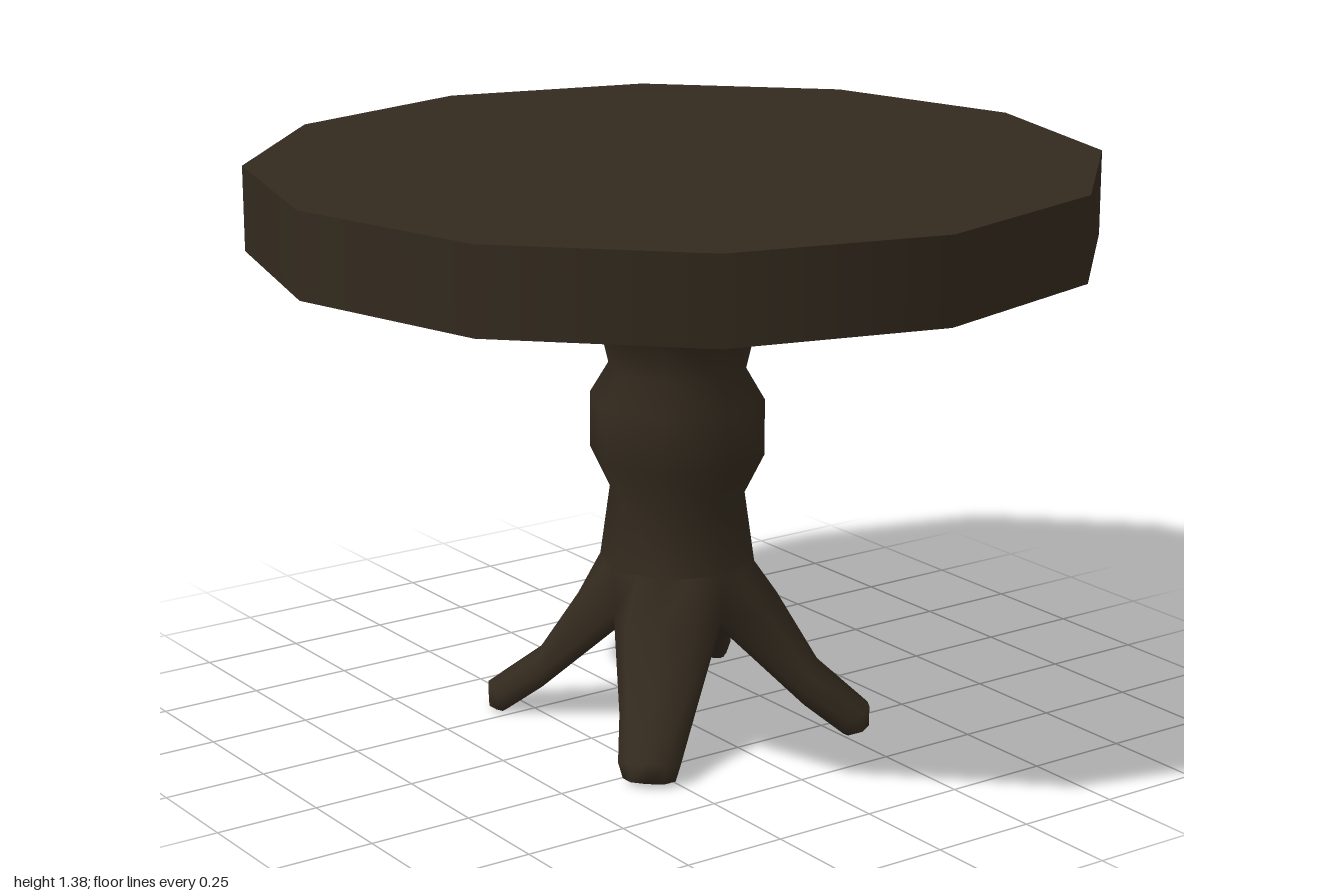
import * as THREE from 'three';
import { mergeGeometries, mergeVertices } from 'three/addons/utils/BufferGeometryUtils.js';

// Half cross-sections of a leg, from the shoulder down to the toe.
// Each point is [outward, height, sideways], going from the outer ridge to the inner ridge.
const LEG_SECTIONS = [
  [[0.187, 0.41, 0], [0.158, 0.413, 0.065], [0.1322, 0.41, 0.1322], [0.06, 0.41, 0.06], [0, 0.41, 0]],
  [[0.242, 0.305, 0], [0.23, 0.307, 0.082], [0.13, 0.3, 0.13], [0.07, 0.3, 0.07], [0.09, 0.285, 0]],
  [[0.335, 0.155, 0], [0.328, 0.15, 0.066], [0.312, 0.12, 0.088], [0.313, 0.08, 0.07], [0.31, 0.075, 0]],
  [[0.462, 0.06, 0], [0.452, 0.055, 0.045], [0.422, 0.045, 0.073], [0.405, 0.01, 0.06], [0.4, 0.005, 0]],
  [[0.46, 0.012, 0], [0.45, 0.01, 0.04], [0.428, 0.01, 0.062], [0.415, 0.002, 0.05], [0.415, 0, 0]],
];
const SIDE = 2; // where each half section meets the neighbouring leg

// Builds the leg of one quadrant; sx and sz mirror it into the others
function legGeometry(sx, sz) {
  const rings = LEG_SECTIONS.map((half) => [
    ...half,
    ...half.slice(1, -1).reverse().map(([r, y, t]) => [r, y, -t]),
  ]);
  const n = rings[0].length;
  const positions = rings.flat().flatMap(([r, y, t]) => [
    sx * (r - t) * Math.SQRT1_2,
    y,
    sz * ((r + t) * Math.SQRT1_2 + 0.05 * Math.max(0, 0.3 - y)),
  ]);
  const index = [];
  const triangle = (a, b, c) => index.push(...(sx * sz > 0 ? [a, b, c] : [a, c, b]));

  // The shoulder has an outer wall only, below it the leg is a full tube
  for (let i = 0; i < rings.length - 1; i++) {
    for (let j = 0; j < n; j++) {
      if (i === 0 && j >= SIDE && j < n - SIDE) continue;
      const k = (j + 1) % n;
      const a = i * n + j, b = i * n + k;
      triangle(a, b, a + n);
      triangle(b, b + n, a + n);
    }
  }
  // Sole of the toe
  const last = (rings.length - 1) * n;
  for (let j = 1; j < n - 1; j++) triangle(last, last + j, last + j + 1);

  // Underside of the column between the legs
  const center = positions.length / 3;
  positions.push(0, 0.3, 0);
  triangle(center, n + 4, n + 3);
  triangle(center, n + 5, n + 4);

  const geometry = new THREE.BufferGeometry();
  geometry.setAttribute('position', new THREE.Float32BufferAttribute(positions, 3));
  geometry.setIndex(index);
  return geometry;
}

// Eight-sided column with a bulge and a flared head
function columnGeometry() {
  const profile = [
    [0.187, 0.41], [0.163, 0.58], [0.21, 0.675], [0.21, 0.81],
    [0.165, 0.885], [0.198, 1.025], [0.38, 1.182],
  ].map(([r, y]) => new THREE.Vector2(r, y));
  const geometry = new THREE.LatheGeometry(profile, 8);
  geometry.deleteAttribute('normal');
  geometry.deleteAttribute('uv');
  return geometry;
}

export function createModel() {
  const table = new THREE.Group();
  table.name = 'pedestalTable';
  const wood = new THREE.MeshStandardMaterial({ color: 0x332a1e, side: THREE.DoubleSide });
  wood.name = 'darkWood';

  // Twelve-sided top: a thin disc with a deep rim, hollow underneath
  const disc = new THREE.Mesh(new THREE.CircleGeometry(1, 12), wood);
  disc.name = 'tableTop';
  disc.rotation.x = -Math.PI / 2;
  disc.position.y = 1.38;
  const rim = new THREE.Mesh(new THREE.CylinderGeometry(1, 1, 0.2, 12, 1, true), wood);
  rim.name = 'tableRim';
  rim.position.y = 1.28;
  table.add(disc, rim);

  // Column and four splayed legs, welded into one smooth surface
  const parts = [columnGeometry()];
  for (const sx of [1, -1]) for (const sz of [1, -1]) parts.push(legGeometry(sx, sz));
  const geometry = mergeVertices(mergeGeometries(parts), 1e-3);
  geometry.computeVertexNormals();
  const pedestal = new THREE.Mesh(geometry, wood);
  pedestal.name = 'pedestal';
  table.add(pedestal);
  return table;
}
